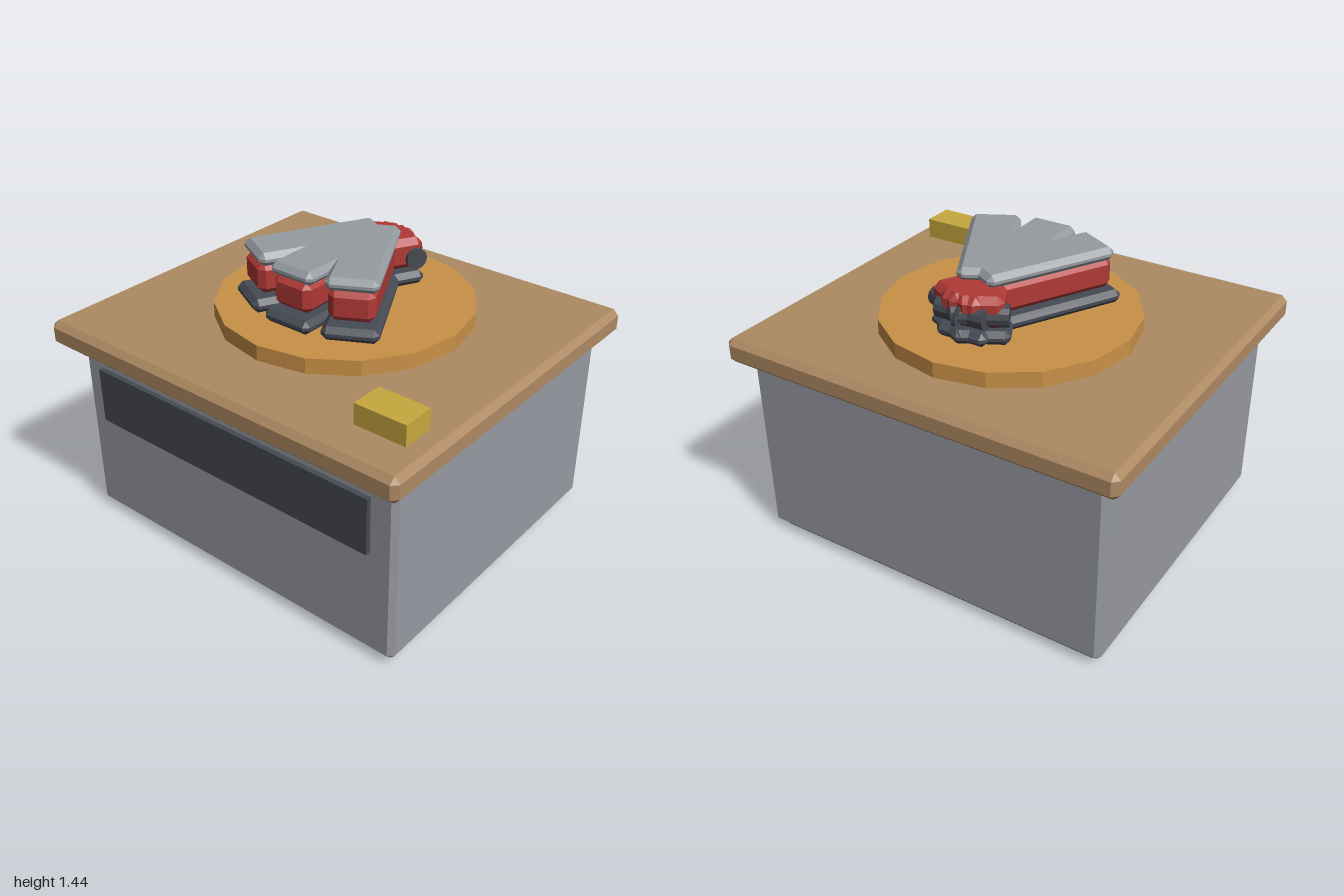
import * as THREE from 'three';
import { ConvexGeometry } from 'three/addons/geometries/ConvexGeometry.js';

const mat = (name, color) => new THREE.MeshStandardMaterial({ name, color, flatShading: true });

// Box with all edges and corners cut by c
function chamferBox(w, h, d, c) {
  const pts = [];
  for (const sx of [-1, 1]) for (const sy of [-1, 1]) for (const sz of [-1, 1]) {
    for (let axis = 0; axis < 3; axis++) {
      const inset = [c, c, c];
      inset[axis] = 0;
      pts.push(new THREE.Vector3(
        sx * (w / 2 - inset[0]), sy * (h / 2 - inset[1]), sz * (d / 2 - inset[2])));
    }
  }
  return new ConvexGeometry(pts);
}

export function createModel() {
  const model = new THREE.Group();
  const steel = mat('cabinet grey', 0x979aa1);
  const dark = mat('dark slate', 0x464a53);
  const wood = mat('wood top', 0xae8a63);
  const amber = mat('amber mat', 0xc99148);
  const red = mat('handle red', 0xb03a36);
  const blade = mat('blade grey', 0x969ba1);
  const brass = mat('brass yellow', 0xc8a83e);

  function add(parent, name, geometry, material, x, y, z) {
    const mesh = new THREE.Mesh(geometry, material);
    mesh.name = name;
    mesh.position.set(x, y, z);
    parent.add(mesh);
    return mesh;
  }

  // Cabinet
  add(model, 'plinth', new THREE.BoxGeometry(1.74, 0.05, 1.5), dark, 0, 0.025, -0.022);
  add(model, 'cabinet', chamferBox(1.845, 0.925, 1.595, 0.025), steel, 0, 0.4925, -0.02);
  add(model, 'frontPanel', new THREE.BoxGeometry(1.595, 0.28, 0.04), dark, 0, 0.71, 0.782);
  add(model, 'worktop', chamferBox(2, 0.125, 1.79, 0.028), wood, 0, 1.0175, 0);

  // Items on the worktop
  add(model, 'roundMat', new THREE.CylinderGeometry(0.615, 0.615, 0.08, 16), amber, 0, 1.115, -0.055);
  add(model, 'smallBlock', new THREE.BoxGeometry(0.255, 0.105, 0.16), brass, 0.767, 1.1275, 0.61);

  // Three stacked layers, fanned out around one pivot
  const layers = [
    { name: 'lowerPlate', m: dark, w: 0.26, y0: 1.157, y1: 1.223, back: -0.21, front: 0.65, c: 0.025 },
    { name: 'redBody', m: red, w: 0.21, y0: 1.235, y1: 1.385, back: -0.21, front: 0.61, c: 0.03 },
    { name: 'upperPlate', m: blade, w: 0.24, y0: 1.376, y1: 1.44, back: -0.04, front: 0.61, c: 0.025 },
  ];
  const pinGeometry = new THREE.CylinderGeometry(0.052, 0.052, 0.25, 12).rotateZ(Math.PI / 2);
  for (const i of [-1, 0, 1]) {
    const finger = new THREE.Group();
    finger.name = ['rightFinger', 'middleFinger', 'leftFinger'][i + 1];
    finger.position.z = -0.27;
    finger.rotation.y = i * 0.49;
    for (const l of layers) {
      add(finger, l.name, chamferBox(l.w, l.y1 - l.y0, l.front - l.back, l.c), l.m,
        0, (l.y0 + l.y1) / 2, (l.front + l.back) / 2);
    }
    add(finger, 'hingePin', pinGeometry, dark, 0, 1.29, -0.165);
    model.add(finger);
  }
  return model;
}
